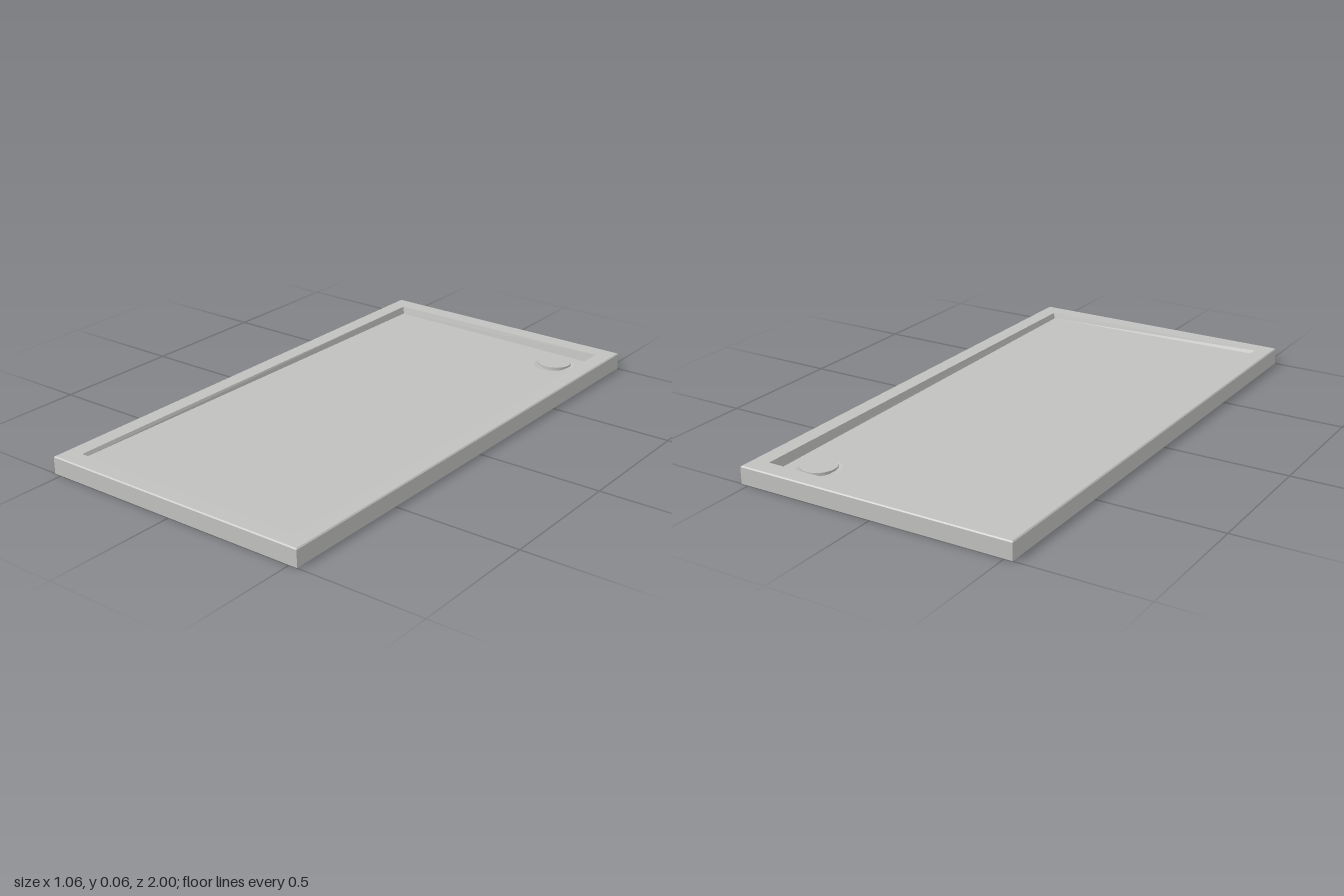
import * as THREE from 'three';

const HX = 0.53, HZ = 1, TOP = 0.065;   // outer half sizes and rim height
const IX = 0.463, IZ = 0.927;           // basin half sizes
const DRAIN = { x: 0.345, z: -0.82, r: 0.065 };

// The basin floor falls gently towards the drain corner
const floorY = (x, z) => 0.04 - 0.0045 * x / IX + 0.0075 * z / IZ;

// Four corners of a rectangle, counter-clockwise seen from above
const ring = (hx, hz, height) =>
  [[-1, 1], [1, 1], [1, -1], [-1, -1]].map(([sx, sz]) => {
    const x = sx * hx, z = sz * hz;
    return [x, typeof height === 'function' ? height(x, z) : height, z];
  });

// Flat faced band joining two rings
function band(name, a, b, material) {
  const p = [];
  for (let i = 0; i < 4; i++) {
    const j = (i + 1) % 4;
    p.push(...a[i], ...a[j], ...b[j], ...a[i], ...b[j], ...b[i]);
  }
  const g = new THREE.BufferGeometry();
  g.setAttribute('position', new THREE.Float32BufferAttribute(p, 3));
  g.computeVertexNormals();
  const m = new THREE.Mesh(g, material);
  m.name = name;
  return m;
}

export function createModel() {
  const group = new THREE.Group();
  group.name = 'showerTray';
  const acrylic = new THREE.MeshStandardMaterial({ color: 0xc0c0be, side: THREE.DoubleSide });
  acrylic.name = 'pale grey acrylic';

  // Thin shell: skirt, softened edge, flat rim and basin walls, open underneath
  const c = 0.004;
  const rings = [
    ring(HX, HZ, 0), ring(HX, HZ, TOP - c), ring(HX - c, HZ - c, TOP),
    ring(IX + 0.003, IZ + 0.003, TOP), ring(IX - 0.003, IZ - 0.003, floorY),
  ];
  ['skirt', 'rimEdge', 'rim', 'basinWalls'].forEach((name, i) =>
    group.add(band(name, rings[i], rings[i + 1], acrylic)));

  // Sloping floor with a round opening for the drain
  const hx = IX - 0.003, hz = IZ - 0.003, openR = DRAIN.r + 0.012;
  const shape = new THREE.Shape([[-hx, -hz], [hx, -hz], [hx, hz], [-hx, hz]]
    .map(([x, y]) => new THREE.Vector2(x, y)));
  shape.holes.push(new THREE.Path().absarc(DRAIN.x, -DRAIN.z, openR, 0, Math.PI * 2, true));
  const floorGeo = new THREE.ShapeGeometry(shape, 24).rotateX(-Math.PI / 2);
  const pos = floorGeo.attributes.position;
  for (let i = 0; i < pos.count; i++) pos.setY(i, floorY(pos.getX(i), pos.getZ(i)));
  floorGeo.computeVertexNormals();
  const floor = new THREE.Mesh(floorGeo, acrylic);
  floor.name = 'basinFloor';
  group.add(floor);

  // Shallow drain recess and raised cover, tilted with the floor
  const drain = new THREE.Group();
  drain.name = 'drain';
  drain.position.set(DRAIN.x, floorY(DRAIN.x, DRAIN.z), DRAIN.z);
  drain.quaternion.setFromUnitVectors(new THREE.Vector3(0, 1, 0),
    new THREE.Vector3(0.0045 / IX, 1, -0.0075 / IZ).normalize());
  const lathe = (name, pts) => {
    const m = new THREE.Mesh(
      new THREE.LatheGeometry(pts.map(([x, y]) => new THREE.Vector2(x, y)), 48), acrylic);
    m.name = name;
    drain.add(m);
  };
  lathe('drainRecess', [[0, -0.006], [DRAIN.r - 0.008, -0.006], [openR, 0]]);
  const cover = new THREE.Mesh(
    new THREE.CylinderGeometry(DRAIN.r, DRAIN.r, 0.008, 48), acrylic);
  cover.name = 'drainCover';
  cover.position.y = 0.008;
  const neck = new THREE.Mesh(
    new THREE.CylinderGeometry(DRAIN.r - 0.015, DRAIN.r - 0.015, 0.01, 48), acrylic);
  neck.name = 'drainNeck';
  neck.position.y = -0.001;
  drain.add(cover, neck);
  group.add(drain);

  return group;
}
